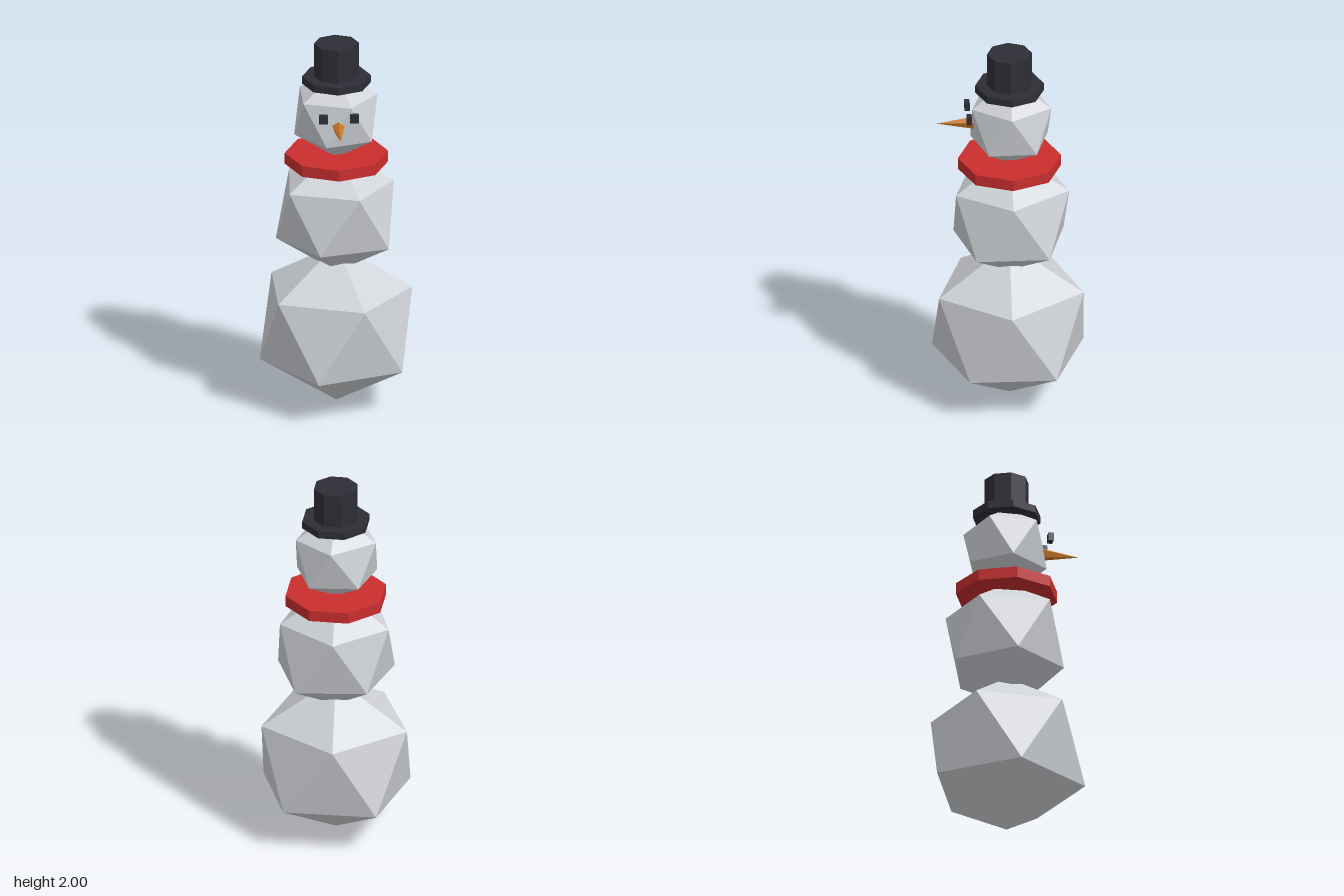
import * as THREE from 'three';

const flat = (name, color) => {
  const m = new THREE.MeshStandardMaterial({ color, flatShading: true });
  m.name = name;
  return m;
};

// Slightly uneven 20-faced ball: two poles and two five-point rings of [x, z],
// listed from +x towards +z; the lower ring sits half a step further round.
function snowballGeometry({ top, upperY, lowerY, bottom, upper, lower }) {
  const points = [
    0, top, 0,
    ...upper.flatMap(([x, z]) => [x, upperY, z]),
    ...lower.flatMap(([x, z]) => [x, lowerY, z]),
    0, bottom, 0,
  ];
  const index = [];
  for (let k = 0; k < 5; k++) {
    const n = (k + 1) % 5;
    const u = 1 + k, u2 = 1 + n, l = 6 + k, l2 = 6 + n;
    index.push(0, u2, u, u, u2, l, u2, l2, l, 11, l, l2);
  }
  const indexed = new THREE.BufferGeometry();
  indexed.setAttribute('position', new THREE.Float32BufferAttribute(points, 3));
  indexed.setIndex(index);
  const geometry = indexed.toNonIndexed();
  geometry.computeVertexNormals();
  return geometry;
}

export function createModel() {
  const model = new THREE.Group();
  model.name = 'snowman';

  const snow = flat('snow', 0xcfd2d7);
  const black = flat('charcoal', 0x2e2e37);
  const red = flat('scarf red', 0xca2e2e);
  const orange = flat('carrot orange', 0xc87722);

  const add = (name, geometry, material, x = 0, y = 0, z = 0) => {
    const mesh = new THREE.Mesh(geometry, material);
    mesh.name = name;
    mesh.position.set(x, y, z);
    model.add(mesh);
    return mesh;
  };

  // Three stacked snowballs
  add('lowerBody', snowballGeometry({
    top: 0.87, upperY: 0.63, lowerY: 0.235, bottom: 0,
    upper: [[0.395, 0.015], [0.125, 0.377], [-0.317, 0.23], [-0.325, -0.23], [0.113, -0.38]],
    lower: [[0.33, 0.23], [-0.115, 0.395], [-0.4, -0.005], [-0.118, -0.395], [0.337, -0.222]],
  }), snow);
  add('upperBody', snowballGeometry({
    top: 1.41, upperY: 1.225, lowerY: 0.912, bottom: 0.72,
    upper: [[0.3, 0], [0.105, 0.287], [-0.255, 0.177], [-0.235, -0.195], [0.093, -0.305]],
    lower: [[0.262, 0.19], [-0.1, 0.285], [-0.316, -0.005], [-0.095, -0.29], [0.265, -0.19]],
  }), snow);
  add('head', snowballGeometry({
    top: 1.84, upperY: 1.71, lowerY: 1.49, bottom: 1.36,
    upper: [[0.214, 0.002], [0.065, 0.2], [-0.18, 0.122], [-0.183, -0.13], [0.08, -0.213]],
    lower: [[0.178, 0.12], [-0.062, 0.2], [-0.22, -0.01], [-0.07, -0.205], [0.178, -0.13]],
  }), snow);

  // Scarf
  add('scarf', new THREE.CylinderGeometry(0.27, 0.27, 0.06, 8), red, 0, 1.36, 0);

  // Top hat
  add('hatBrim', new THREE.CylinderGeometry(0.18, 0.18, 0.04, 8), black, 0, 1.797, 0);
  add('hatCrown', new THREE.CylinderGeometry(0.117, 0.117, 0.2, 8), black, 0, 1.9, 0);

  // Eyes
  for (const side of [1, -1]) {
    add(side > 0 ? 'leftEye' : 'rightEye',
      new THREE.BoxGeometry(0.045, 0.045, 0.027), black, side * 0.081, 1.66, 0.216);
  }

  // Carrot nose pointing forward, one ridge on top
  const nose = new THREE.ConeGeometry(0.035, 0.2, 5).rotateY(Math.PI).rotateX(Math.PI / 2);
  add('nose', nose, orange, 0, 1.6, 0.282);

  return model;
}
